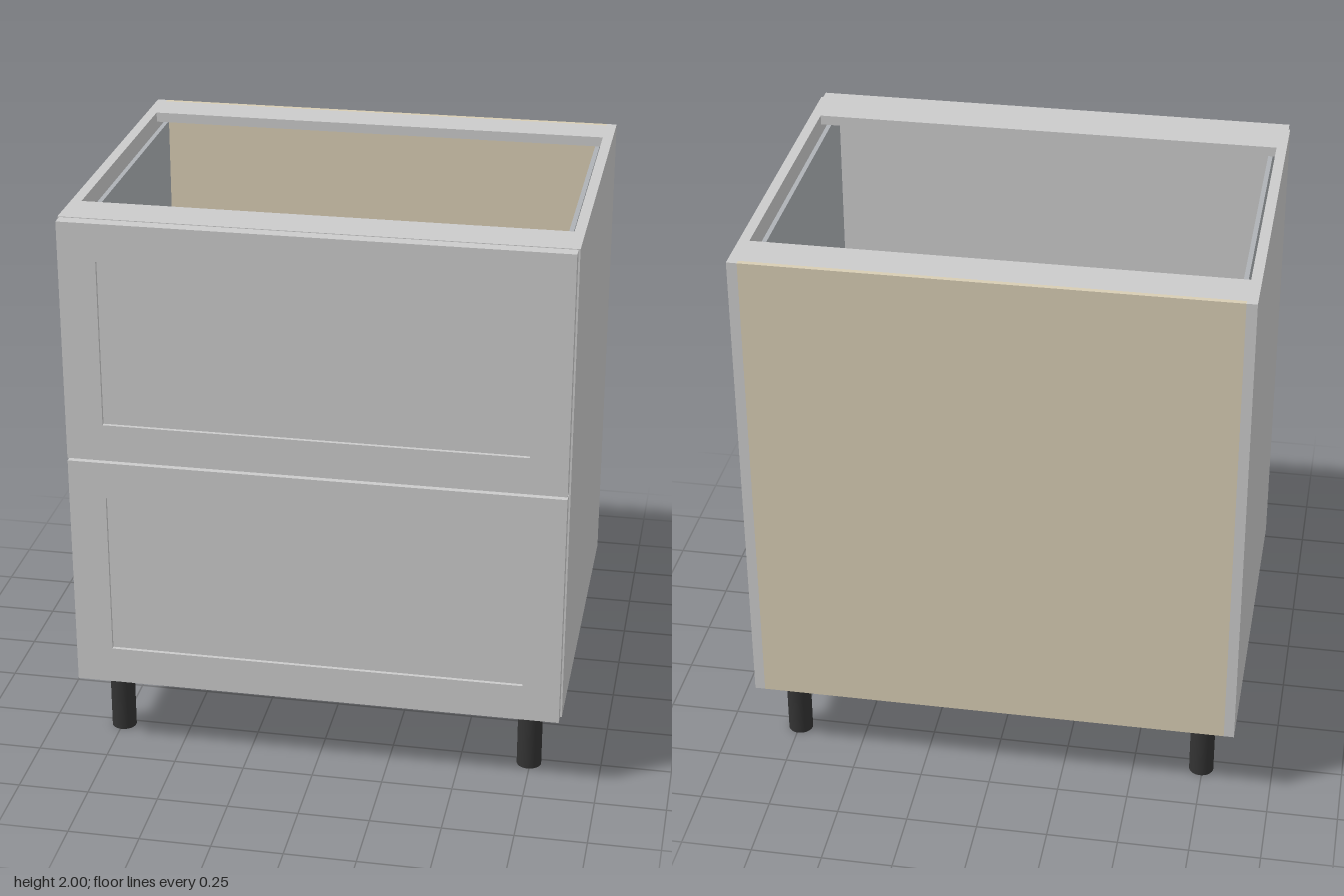
import * as THREE from 'three';

const grey = new THREE.MeshStandardMaterial({ color: 0xcccccc });
const wood = new THREE.MeshStandardMaterial({ color: 0xd8cdb4 });
const steel = new THREE.MeshStandardMaterial({ color: 0xaeb2b6 });
const black = new THREE.MeshStandardMaterial({ color: 0x333333 });

// Box given by its two extreme corners
function box(name, material, [x0, y0, z0], [x1, y1, z1]) {
  const mesh = new THREE.Mesh(new THREE.BoxGeometry(x1 - x0, y1 - y0, z1 - z0), material);
  mesh.position.set((x0 + x1) / 2, (y0 + y1) / 2, (z0 + z1) / 2);
  mesh.name = name;
  return mesh;
}

function rectangle(PathType, x, y0, y1) {
  return new PathType([[-x, y0], [x, y0], [x, y1], [-x, y1]].map(p => new THREE.Vector2(...p)));
}

// Framed front with a recessed centre panel
function drawerFront(y0, y1) {
  const front = new THREE.Group();
  front.name = 'drawerFront';
  const shape = rectangle(THREE.Shape, 0.86, y0, y1);
  shape.holes.push(rectangle(THREE.Path, 0.73, y0 + 0.133, y1 - 0.133));
  const frame = new THREE.Mesh(
    new THREE.ExtrudeGeometry(shape, { depth: 0.044, bevelEnabled: false }), grey);
  frame.position.z = 0.646;
  frame.name = 'frontFrame';
  front.add(frame, box('frontPanel', grey, [-0.73, y0 + 0.133, 0.646], [0.73, y1 - 0.133, 0.677]));
  return front;
}

// Open box behind each front
function drawerBox(y0, y1) {
  const drawer = new THREE.Group();
  drawer.name = 'drawerBox';
  for (const s of [-1, 1]) {
    const x = s * 0.808;
    drawer.add(box('drawerSide', steel, [x - 0.008, y0, -0.61], [x + 0.008, y1, 0.645]));
  }
  drawer.add(
    box('drawerBottom', wood, [-0.8, y0, -0.61], [0.8, y0 + 0.03, 0.645]),
    box('drawerBack', wood, [-0.8, y0 + 0.03, -0.61], [0.8, y1, -0.59]));
  return drawer;
}

function leg(x, z) {
  const group = new THREE.Group();
  group.name = 'leg';
  const post = new THREE.Mesh(new THREE.CylinderGeometry(0.044, 0.044, 0.235, 32), black);
  post.position.y = 0.1175;
  post.name = 'legPost';
  group.add(post, box('legPlate', black, [-0.069, 0.23, -0.069], [0.069, 0.269, 0.069]));
  group.position.set(x, 0, z);
  return group;
}

export function createModel() {
  const model = new THREE.Group();
  model.name = 'drawerCabinet';

  // Carcass
  model.add(
    box('leftSide', grey, [0.83, 0.27, -0.69], [0.866, 2, 0.645]),
    box('rightSide', grey, [-0.866, 0.27, -0.69], [-0.83, 2, 0.645]),
    box('bottomPanel', wood, [-0.83, 0.27, -0.672], [0.83, 0.305, 0.645]),
    box('backPanel', wood, [-0.83, 0.27, -0.69], [0.83, 2, -0.672]),
    box('backRail', grey, [-0.83, 1.965, -0.672], [0.83, 2, -0.527]),
    box('frontRail', grey, [-0.83, 1.965, 0.483], [0.83, 2, 0.645]));

  // Drawers
  model.add(drawerFront(0.272, 1.13), drawerFront(1.14, 1.998));
  model.add(drawerBox(0.33, 1.05), drawerBox(1.2, 1.95));

  // Legs
  for (const x of [-0.745, 0.745]) for (const z of [-0.543, 0.525]) model.add(leg(x, z));
  return model;
}
